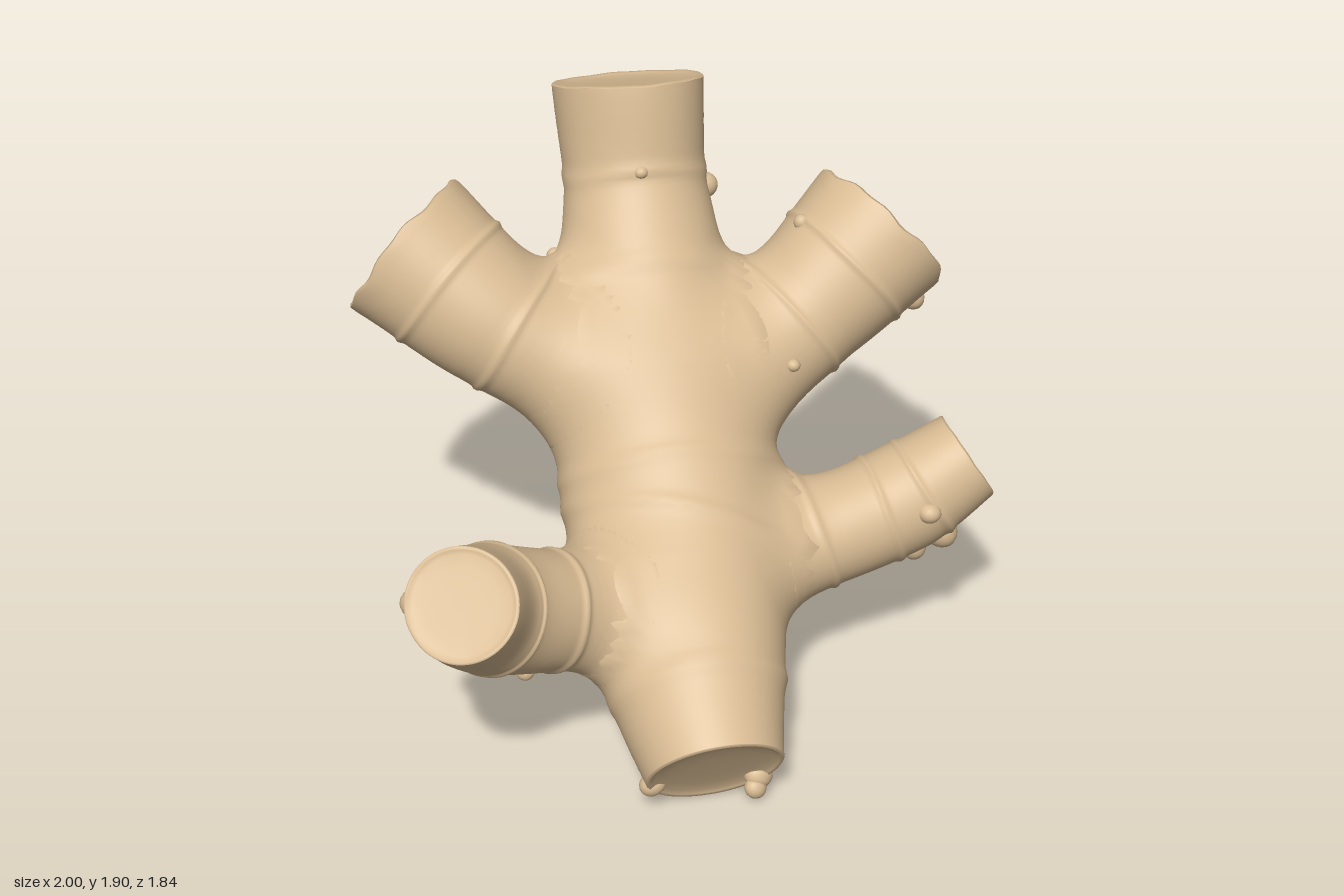
import * as THREE from 'three';

const V = (x, y, z) => new THREE.Vector3(x, y, z);
const COLS = 64, ROWS = 110, BLEND = 0.18;

// A limb: axis points [x, y, z, radius], node ring positions, depth of the cut, raggedness of its rim
const limb = (name, path, rings, depth, rag) => ({ name, path, rings, depth, rag, ref: V(0, 0, 1), wide: 0, slant: 0.008 });

const mainRoot = limb('mainRoot',
  [[-0.06, 0.192, 0.81, 0.212], [-0.07, 0.35, 0.55, 0.265], [-0.06, 0.53, 0.25, 0.305], [-0.06, 0.72, 0.02, 0.312],
    [-0.06, 0.98, -0.21, 0.295], [-0.06, 1.27, -0.42, 0.245], [-0.06, 1.53, -0.585, 0.215], [-0.06, 1.825, -0.69, 0.243]],
  [0.11, 0.35, 0.44, 0.73, 0.87], 0.01, 0.004);
Object.assign(mainRoot, { ref: V(1, 0, 0), wide: 0.13, slant: 0.05 });

const upperRight = limb('upperRightBranch',
  [[-0.08, 0.96, -0.18, 0.16], [-0.35, 1.09, -0.23, 0.21], [-0.56, 1.215, -0.3, 0.222], [-0.825, 1.425, -0.465, 0.262]],
  [0.53, 0.8], 0.09, 0.018);
const upperLeft = limb('upperLeftBranch',
  [[-0.02, 0.93, -0.18, 0.16], [0.26, 1.03, -0.25, 0.21], [0.47, 1.155, -0.33, 0.222], [0.73, 1.35, -0.44, 0.263]],
  [0.52, 0.8], 0.16, 0.02);
const lowerLeft = limb('lowerLeftBranch',
  [[0, 0.47, 0.2, 0.13], [0.38, 0.56, 0.15, 0.175], [0.7, 0.65, 0.11, 0.18], [0.905, 0.772, 0.09, 0.152]],
  [0.42, 0.66, 0.82], 0.006, 0.003);
const lowerRight = limb('lowerRightBranch',
  [[-0.1, 0.5, 0.32, 0.15], [-0.47, 0.605, 0.46, 0.185], [-0.72, 0.75, 0.61, 0.197], [-0.81, 0.91, 0.8, 0.172]],
  [0.46, 0.72], 0.006, 0.003);
const limbs = [mainRoot, upperRight, upperLeft, lowerLeft, lowerRight];

for (const l of limbs) {
  l.curve = new THREE.CatmullRomCurve3(l.path.map(p => V(p[0], p[1], p[2])), false, 'centripetal');
  l.radius = u => {
    const t = l.curve.getUtoTmapping(u) * (l.path.length - 1);
    const i = Math.min(Math.floor(t), l.path.length - 2);
    return THREE.MathUtils.lerp(l.path[i][3], l.path[i + 1][3], t - i);
  };
  l.samples = Array.from({ length: 61 }, (_, i) => ({
    c: l.curve.getPointAt(i / 60), r: l.radius(i / 60), w: 1 + l.wide * Math.sin(Math.PI * i / 60),
  }));
}

// Smoothly blended distance to all limbs, so the joints are filleted; slightly wavy
function field(p) {
  let d = 10;
  for (const l of limbs) {
    let e = 10;
    for (const { c, r, w } of l.samples) {
      const x = (p.x - c.x) / w, y = p.y - c.y, z = p.z - c.z;
      e = Math.min(e, Math.sqrt(x * x + y * y + z * z) - r);
    }
    const h = Math.max(BLEND - Math.abs(d - e), 0) / BLEND;
    d = Math.min(d, e) - h * h * BLEND / 4;
  }
  return d + 0.004 * Math.sin(9 * p.x + 1) * Math.sin(8 * p.y) * Math.sin(9 * p.z + 2);
}

function gradient(p) {
  const e = 0.004, f = field(p);
  return V(field(V(p.x + e, p.y, p.z)) - f, field(V(p.x, p.y + e, p.z)) - f, field(V(p.x, p.y, p.z + e)) - f).normalize();
}

// Joins closed rows of points into a surface
function skin(rows, flip = false) {
  const pos = [], index = [];
  rows.forEach(row => row.forEach(p => pos.push(p.x, p.y, p.z)));
  for (let i = 0; i < rows.length - 1; i++) {
    for (let j = 0; j < COLS; j++) {
      const a = i * COLS + j, b = i * COLS + (j + 1) % COLS, c = a + COLS, d = b + COLS;
      if (flip) index.push(a, c, b, b, c, d);
      else index.push(a, b, c, b, d, c);
    }
  }
  const g = new THREE.BufferGeometry();
  g.setAttribute('position', new THREE.Float32BufferAttribute(pos, 3));
  g.setIndex(index);
  g.computeVertexNormals();
  return g;
}

// Rows around a limb's axis, pushed outward to the blended surface
function limbRows(l) {
  const rows = [];
  for (let i = 0; i <= ROWS; i++) {
    const u = i / ROWS, c = l.curve.getPointAt(u), t = l.curve.getTangentAt(u), r = l.radius(u);
    const n = l.ref.clone().addScaledVector(t, -t.dot(l.ref)).normalize();
    const b = t.clone().cross(n);
    const row = [];
    for (let j = 0; j < COLS; j++) {
      const a = j / COLS * Math.PI * 2;
      const dir = n.clone().multiplyScalar(Math.cos(a)).addScaledVector(b, Math.sin(a));
      let s = r * 0.6;
      for (let k = 0; k < 20 && s < r * 1.45; k++) {
        const d = field(c.clone().addScaledVector(dir, s));
        if (Math.abs(d) < 0.0003) break;
        s -= d;
      }
      s = Math.min(s, r * 1.45);
      // raised node rings, the second one slanted
      l.rings.forEach((at, k) => {
        const x = (u - at + (k === 1 ? l.slant * Math.cos(a) : 0) - 0.004 * Math.sin(3 * a)) / 0.012;
        s += 0.008 * Math.exp(-x * x);
      });
      // uneven cut at the tip
      const jag = Math.sin(2 * a + 1) * 0.4 + Math.sin(5 * a) * 0.35 + Math.sin(11 * a + 2) * 0.25;
      const end = THREE.MathUtils.smoothstep(u, 0.88, 1);
      row.push(c.clone().addScaledVector(dir, s).addScaledVector(t, l.rag * jag * end));
    }
    rows.push(row);
  }
  return rows;
}

// Cut face with a rounded lip, flat or hollowed
function cutEnd(rim, centre, out, depth, flip) {
  const profile = [[1, 0], [0.97, 0.006], [0.93, 0.002], [0.86, -depth * 0.45], [0.65, -depth * 0.85], [0.35, -depth], [0, -depth]];
  return skin(profile.map(([f, h]) => rim.map(p => {
    const q = p.clone().sub(centre);
    const axial = q.dot(out);
    q.addScaledVector(out, -axial).multiplyScalar(f);
    return q.addScaledVector(out, axial * f ** 8 + h).add(centre);
  })), flip);
}

// Small buds [x, y, z, size]; each is snapped to the surface and half sunk
const buds = [
  [0.74, 0.69, 0.28, 0.04], [0.83, 0.51, 0.17, 0.06], [0.78, 0.5, 0.04, 0.05], [0.72, 0.49, 0.15, 0.05],
  [0.84, 1.1, -0.34, 0.045], [0.74, 1.02, -0.41, 0.055], [0.35, 1.08, -0.08, 0.025], [0.44, 1.44, -0.36, 0.028],
  [0.13, 0.06, 0.72, 0.045], [0.16, 0.1, 0.68, 0.04], [0.1, 0.04, 0.75, 0.035], [-0.27, 0.1, 0.75, 0.04],
  [-0.95, 0.72, 0.56, 0.055], [-0.98, 0.8, 0.6, 0.05], [-0.61, 0.5, 0.6, 0.032],
  [0.18, 1.5, -0.55, 0.045], [-0.07, 1.64, -0.4, 0.025], [-0.32, 1.33, -0.42, 0.028],
];

export function createModel() {
  const group = new THREE.Group();
  const tan = new THREE.MeshStandardMaterial({ color: 0xd9bc94 });
  tan.name = 'tan root skin';
  const add = (name, geometry, parent = group) => {
    const m = new THREE.Mesh(geometry, tan);
    m.name = name;
    parent.add(m);
    return m;
  };

  for (const l of limbs) {
    const part = new THREE.Group();
    part.name = l.name;
    group.add(part);
    const rows = limbRows(l);
    add(l.name + 'Skin', skin(rows), part);
    add(l.name + 'CutEnd', cutEnd(rows[ROWS], l.curve.getPointAt(1), l.curve.getTangentAt(1), l.depth, false), part);
    if (l === mainRoot) {
      add('mainRootLowerCutEnd', cutEnd(rows[0], l.curve.getPointAt(0), l.curve.getTangentAt(0).negate(), l.depth, true), part);
    }
  }

  const budShape = new THREE.SphereGeometry(1, 14, 10);
  for (const [x, y, z, size] of buds) {
    const p = V(x, y, z);
    for (let k = 0; k < 3; k++) p.addScaledVector(gradient(p), -field(p));
    const normal = gradient(p);
    const bud = add('bud', budShape);
    bud.position.copy(p).addScaledVector(normal, -size * 0.35);
    bud.quaternion.setFromUnitVectors(V(0, 1, 0), normal);
    bud.scale.set(size, size * 1.1, size * 0.9);
  }
  return group;
}
